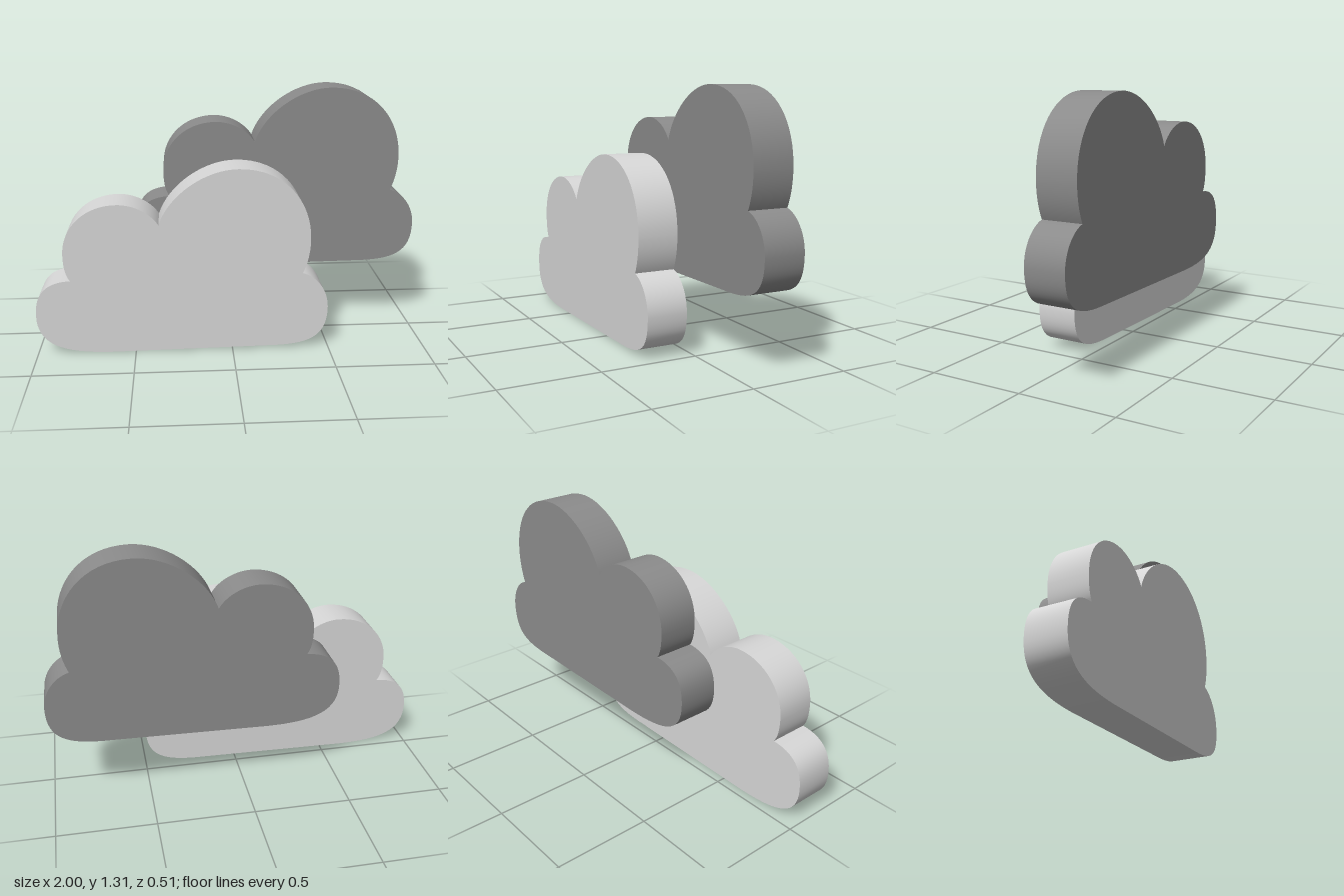
import * as THREE from 'three';
import { toCreasedNormals } from 'three/addons/utils/BufferGeometryUtils.js';

// Cloud outline, clockwise from the bottom right
function cloudShape() {
  const s = new THREE.Shape();
  s.moveTo(0.18, 0.012);
  s.lineTo(-0.62, 0);
  // left puff
  s.bezierCurveTo(-0.88, 0, -1, 0.05, -1, 0.21);
  s.bezierCurveTo(-1, 0.33, -0.945, 0.39, -0.82, 0.395);
  // small upper puff
  s.bezierCurveTo(-0.845, 0.43, -0.85, 0.48, -0.85, 0.53);
  s.bezierCurveTo(-0.85, 0.68, -0.73, 0.788, -0.575, 0.788);
  s.bezierCurveTo(-0.495, 0.788, -0.41, 0.745, -0.37, 0.68);
  // large upper puff
  s.bezierCurveTo(-0.32, 0.83, -0.14, 0.96, 0.03, 0.96);
  s.bezierCurveTo(0.26, 0.96, 0.397, 0.79, 0.397, 0.59);
  s.bezierCurveTo(0.397, 0.51, 0.38, 0.455, 0.36, 0.41);
  // right puff
  s.bezierCurveTo(0.435, 0.39, 0.494, 0.31, 0.494, 0.22);
  s.bezierCurveTo(0.494, 0.05, 0.4, 0.012, 0.18, 0.012);
  return s;
}

export function createModel() {
  const group = new THREE.Group();
  group.name = 'clouds';

  const extruded = new THREE.ExtrudeGeometry(cloudShape(), {
    depth: 0.212, curveSegments: 16, bevelEnabled: false,
  });
  const geometry = toCreasedNormals(extruded, 0.6);

  const addCloud = (name, materialName, color, x, y, z) => {
    const material = new THREE.MeshStandardMaterial({ color });
    material.name = materialName;
    const mesh = new THREE.Mesh(geometry, material);
    mesh.name = name;
    mesh.position.set(x, y, z);
    group.add(mesh);
  };

  addCloud('frontCloud', 'light grey', 0xd6d6d6, 0, 0, 0.045);
  addCloud('backCloud', 'dark grey', 0x8b8b8b, 0.506, 0.352, -0.257);
  return group;
}
